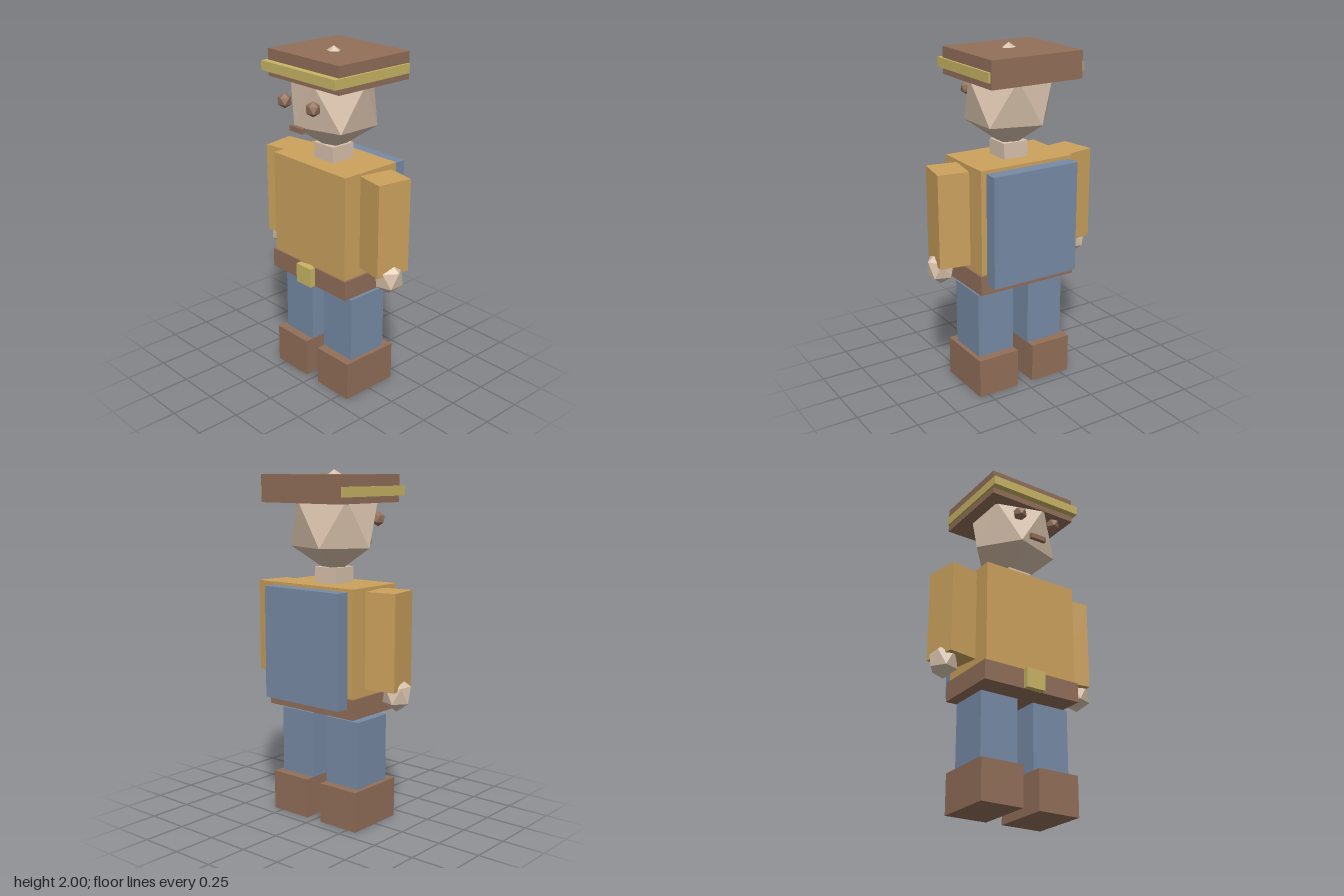
import * as THREE from 'three';

export function createModel() {
  const model = new THREE.Group();
  model.name = 'blockFigure';

  const colour = (name, hex) => {
    const m = new THREE.MeshStandardMaterial({ color: hex, flatShading: true });
    m.name = name;
    return m;
  };
  const tan = colour('tanCloth', 0xcca25d);
  const brown = colour('brownLeather', 0x926f59);
  const blue = colour('blueCloth', 0x778ba6);
  const skin = colour('skin', 0xd9c2ac);
  const gold = colour('goldTrim', 0xc9b565);

  const add = (name, geometry, material) => {
    const mesh = new THREE.Mesh(geometry, material);
    mesh.name = name;
    model.add(mesh);
    return mesh;
  };

  // Box given by its limits on each axis
  const box = (name, material, [x0, x1], [y0, y1], [z0, z1]) => {
    const mesh = add(name, new THREE.BoxGeometry(x1 - x0, y1 - y0, z1 - z0), material);
    mesh.position.set((x0 + x1) / 2, (y0 + y1) / 2, (z0 + z1) / 2);
    return mesh;
  };

  // Icosahedron standing on a vertex, stretched to the given radii
  const gem = (name, material, position, radii) => {
    const geometry = new THREE.IcosahedronGeometry(1, 0);
    geometry.rotateZ(-Math.atan2(1, (1 + Math.sqrt(5)) / 2));
    geometry.scale(...radii);
    const mesh = add(name, geometry, material);
    mesh.position.set(...position);
    return mesh;
  };

  // Head, neck and face
  gem('head', skin, [0, 1.706, 0], [0.283, 0.294, 0.258]);
  box('neck', skin, [-0.077, 0.077], [1.36, 1.46], [-0.077, 0.077]);
  box('mouth', brown, [-0.051, 0.051], [1.573, 1.602], [0.252, 0.276]);

  // Cap with its band, which stands out at the front and sides
  box('cap', brown, [-0.284, 0.284], [1.82, 1.973], [-0.289, 0.224]);
  box('capBand', gold, [-0.297, 0.297], [1.856, 1.91], [-0.279, 0.263]);

  // Body, belt and back pack
  box('torso', tan, [-0.296, 0.296], [0.767, 1.37], [-0.195, 0.19]);
  box('belt', brown, [-0.31, 0.31], [0.653, 0.767], [-0.208, 0.2]);
  box('buckle', gold, [-0.06, 0.06], [0.653, 0.767], [0.17, 0.235]);
  box('backPack', blue, [-0.27, 0.27], [0.712, 1.354], [-0.286, -0.206]);

  // Paired parts
  for (const [side, s] of [['left', 1], ['right', -1]]) {
    const span = (a, b) => (s > 0 ? [a, b] : [-b, -a]);
    gem(side + 'Eye', brown, [s * 0.116, 1.72, 0.253], [0.043, 0.043, 0.042]);
    box(side + 'Leg', blue, span(0.051, 0.284), [0.232, 0.62], [-0.13, 0.124]);
    box(side + 'Boot', brown, span(0.051, 0.309), [0, 0.232], [-0.183, 0.177]);

    const arm = box(side + 'Arm', tan, span(0.309, 0.487), [0.815, 1.354], [-0.111, 0.094]);
    arm.rotation.y = -s * Math.PI / 18;
    gem(side + 'Hand', skin, [s * 0.45, 0.788, 0], [0.087, 0.1, 0.087]);
  }

  return model;
}
